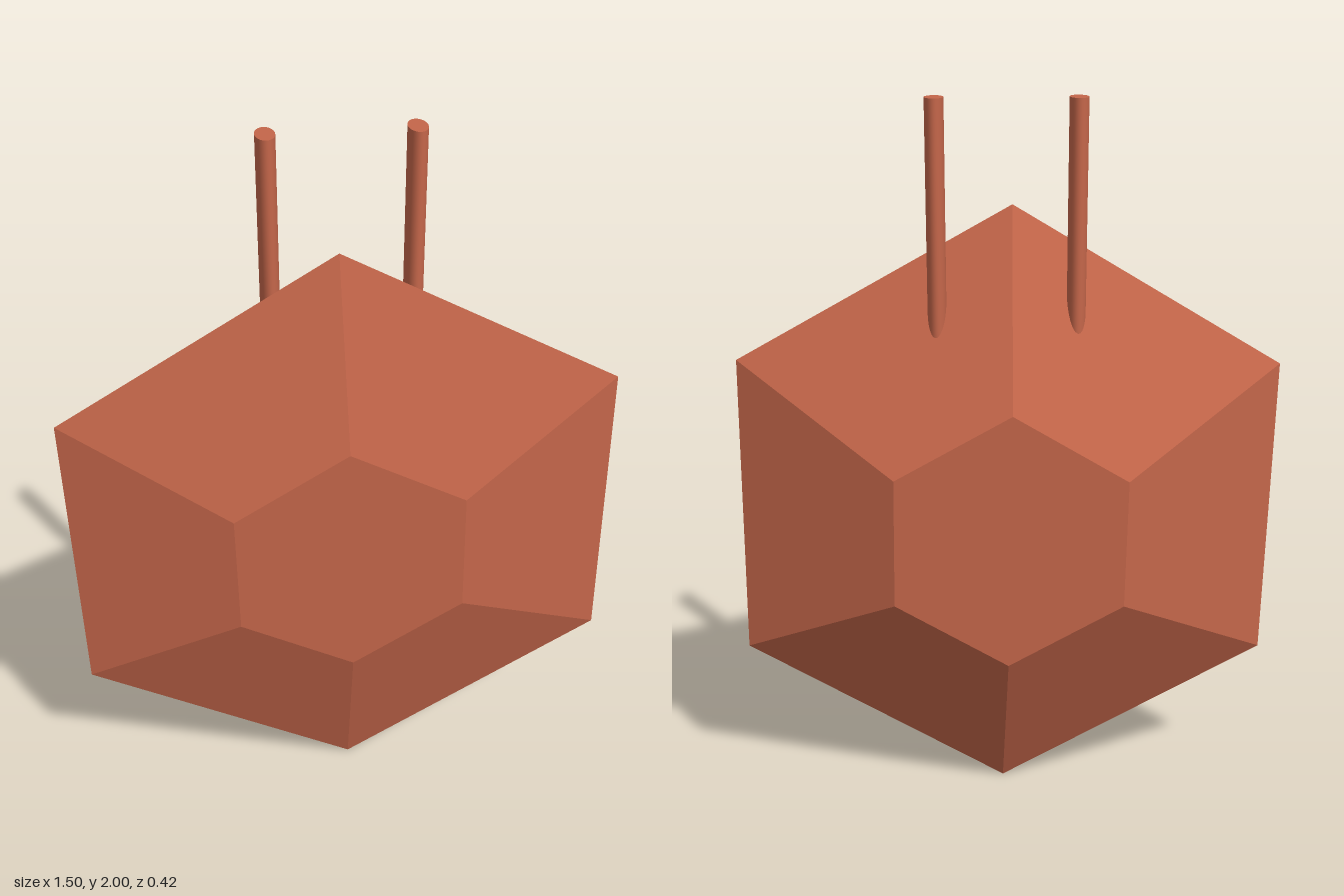
import * as THREE from 'three';

const SIDES = 6;
const CENTRE_Y = 0.858;

export function createModel() {
  const group = new THREE.Group();
  const gemMaterial = new THREE.MeshStandardMaterial({ color: 0xc4664a, flatShading: true });
  const rodMaterial = new THREE.MeshStandardMaterial({ color: 0xc4664a });

  // Faceted body: six-sided lathe with flat front and back, widest slightly forward
  const profile = [
    [0, -0.208], [0.357, -0.208], [0.858, 0.064], [0.357, 0.211], [0, 0.211],
  ].map(([r, z]) => new THREE.Vector2(r, z));
  const gemGeometry = new THREE.LatheGeometry(profile, SIDES)
    .rotateX(Math.PI / 2)
    .rotateZ(0.016)
    .rotateX(0.0075);
  const gem = new THREE.Mesh(gemGeometry, gemMaterial);
  gem.name = 'gemBody';
  gem.position.y = CENTRE_Y;
  group.add(gem);

  // Pair of oval rods rising out of the upper facets
  const bottom = 1.3, top = 2;
  const rodGeometry = new THREE.CylinderGeometry(1, 1, top - bottom, 32).scale(0.025, 1, 0.042);
  for (const [name, x] of [['rightRod', -0.18], ['leftRod', 0.188]]) {
    const rod = new THREE.Mesh(rodGeometry, rodMaterial);
    rod.name = name;
    rod.position.set(x, (bottom + top) / 2, -0.009);
    group.add(rod);
  }

  return group;
}
